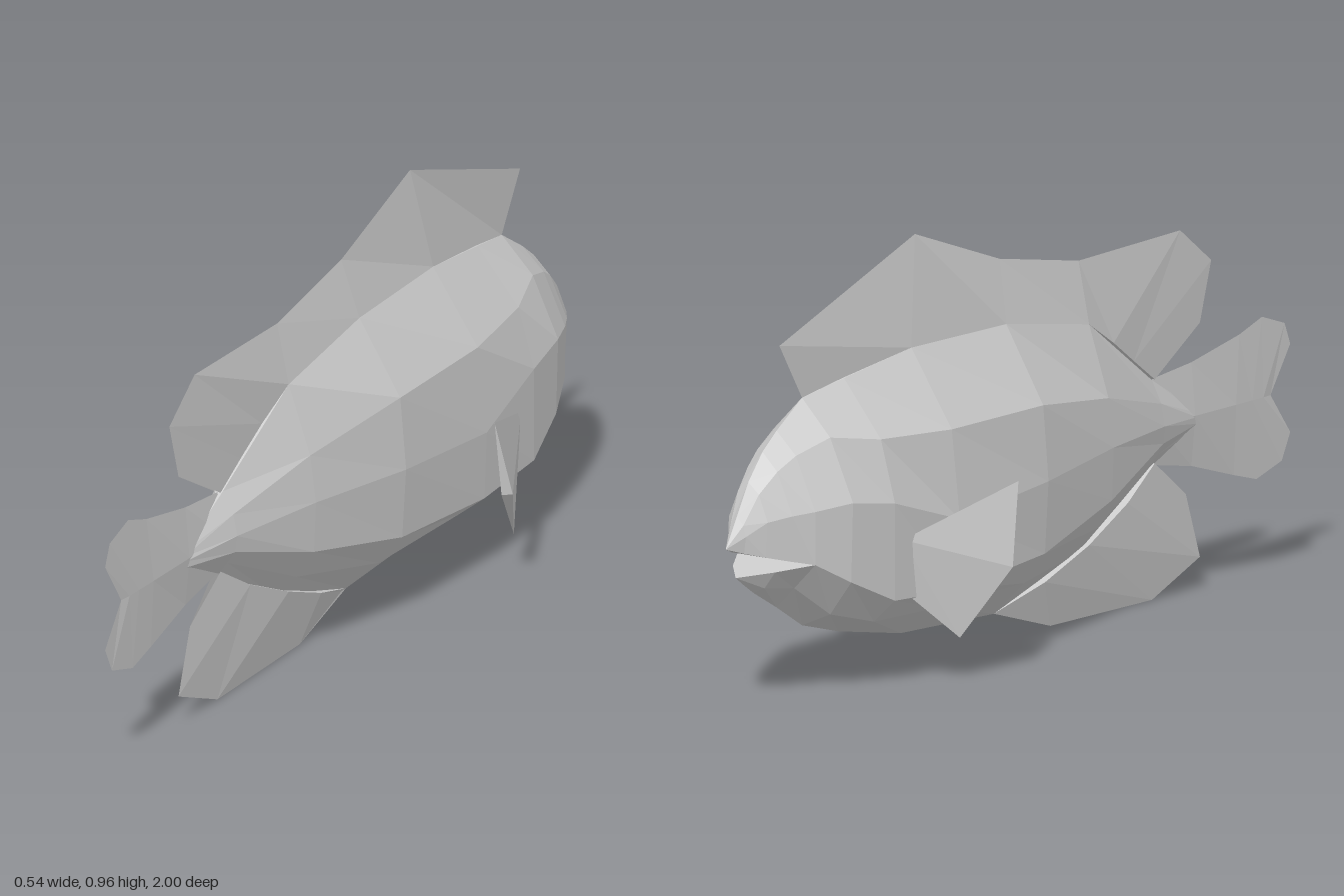
import * as THREE from 'three';

const skin = new THREE.MeshStandardMaterial({ color: 0xcccccc, flatShading: true, side: THREE.DoubleSide });
skin.name = 'grey skin';

function makeMesh(name, positions) {
  const geometry = new THREE.BufferGeometry();
  geometry.setAttribute('position', new THREE.Float32BufferAttribute(positions, 3));
  geometry.computeVertexNormals();
  const mesh = new THREE.Mesh(geometry, skin);
  mesh.name = name;
  return mesh;
}

// Joins half rings of [x, y, z], listed top to bottom and front to back, mirrored across x = 0
function loft(name, halfRings) {
  const rings = halfRings.map(h => [...h, ...h.map(([x, y, z]) => [-x, y, z]).reverse()]);
  const out = [];
  for (let i = 0; i < rings.length - 1; i++) {
    const n = rings[i].length;
    for (let k = 0; k < n; k++) {
      const a = rings[i][k], b = rings[i][(k + 1) % n];
      const c = rings[i + 1][k], d = rings[i + 1][(k + 1) % n];
      out.push(...a, ...c, ...b, ...b, ...c, ...d);
    }
  }
  return makeMesh(name, out);
}

// Flat cross-section: z followed by [x, y] pairs
const section = (z, ...points) => points.map(([x, y]) => [x, y, z]);

export function createModel() {
  const fish = new THREE.Group();
  fish.name = 'fish';

  // Trunk: ridge, shoulder, flank, lower edge, underside, keel
  fish.add(loft('body', [
    section(-0.82, [0, 0.6], [0.055, 0.55], [0.11, 0.43], [0.11, 0.31], [0.05, 0.25], [0, 0.2]),
    section(-0.73, [0, 0.66], [0.08, 0.58], [0.145, 0.44], [0.14, 0.26], [0.08, 0.18], [0, 0.145]),
    section(-0.6, [0.015, 0.685], [0.12, 0.56], [0.16, 0.42], [0.16, 0.2], [0.1, 0.145], [0, 0.11]),
    section(-0.38, [0.03, 0.72], [0.145, 0.55], [0.168, 0.35], [0.162, 0.19], [0.1, 0.14], [0, 0.07]),
    section(-0.05, [0.035, 0.72], [0.14, 0.55], [0.155, 0.38], [0.145, 0.215], [0.085, 0.14], [0, 0.06]),
    section(0.25, [0.03, 0.67], [0.085, 0.51], [0.1, 0.4], [0.095, 0.28], [0.05, 0.21], [0, 0.15]),
    section(0.5, [0.008, 0.5], [0.035, 0.45], [0.045, 0.4], [0.04, 0.36], [0.02, 0.33], [0, 0.3]),
    section(0.66, [0, 0.41], [0.004, 0.4], [0.008, 0.39], [0.008, 0.375], [0.004, 0.37], [0, 0.36]),
  ]));

  // Upper head, closed below by the roof of the mouth
  fish.add(loft('snout', [
    section(-1, [0, 0.36], [0, 0.36], [0, 0.36], [0, 0.36], [0, 0.36]),
    section(-0.96, [0, 0.43], [0.018, 0.41], [0.025, 0.385], [0.02, 0.347], [0, 0.347]),
    section(-0.92, [0, 0.5], [0.03, 0.475], [0.055, 0.415], [0.05, 0.335], [0, 0.335]),
    section(-0.87, [0, 0.56], [0.042, 0.52], [0.085, 0.425], [0.08, 0.322], [0, 0.322]),
    section(-0.82, [0, 0.6], [0.055, 0.55], [0.11, 0.43], [0.11, 0.31], [0, 0.31]),
  ]));

  // Lower jaw
  fish.add(loft('jaw', [
    section(-0.965, [0, 0.29], [0, 0.29], [0, 0.29], [0, 0.29]),
    section(-0.9, [0, 0.3], [0.06, 0.3], [0.03, 0.26], [0, 0.245]),
    section(-0.82, [0, 0.31], [0.11, 0.31], [0.05, 0.25], [0, 0.2]),
  ]));

  // Back fin: sharp upper edge above a thick root
  fish.add(loft('dorsalFin', [
    [[0, 0.79, -0.81], [0, 0.66, -0.73]],
    [[0, 0.965, -0.33], [0.03, 0.72, -0.38]],
    [[0, 0.86, -0.03], [0.035, 0.72, -0.05]],
    [[0, 0.81, 0.25], [0.03, 0.67, 0.25]],
    [[0, 0.82, 0.61], [0.02, 0.61, 0.35]],
    [[0, 0.735, 0.72], [0.013, 0.555, 0.43]],
    [[0, 0.6, 0.68], [0.008, 0.5, 0.51]],
  ]));

  // Belly fin: thick root above a sharp lower edge
  fish.add(loft('analFin', [
    [[0, 0.06, -0.05], [0, 0.06, -0.03]],
    [[0.025, 0.11, 0.1], [0, 0, 0.15]],
    [[0.03, 0.17, 0.25], [0, 0, 0.51]],
    [[0.02, 0.24, 0.4], [0, 0.07, 0.68]],
    [[0.008, 0.31, 0.51], [0, 0.22, 0.63]],
  ]));

  // Forked tail: upper edge, middle, lower edge
  fish.add(loft('tailFin', [
    [[0, 0.5, 0.51], [0.015, 0.4, 0.51], [0, 0.305, 0.51]],
    [[0, 0.515, 0.65], [0.011, 0.395, 0.65], [0, 0.28, 0.65]],
    [[0, 0.55, 0.82], [0.007, 0.395, 0.8], [0, 0.235, 0.8]],
    [[0, 0.577, 0.9], [0.005, 0.395, 0.86], [0, 0.213, 0.88]],
    [[0, 0.55, 0.98], [0.004, 0.395, 0.9], [0, 0.24, 0.97]],
    [[0, 0.5, 1], [0, 0.395, 0.93], [0, 0.3, 1]],
  ]));

  // Side fins: a thin wedge opening toward the rear
  for (const side of [1, -1]) {
    const root = [0.15, 0.33, -0.56], lowRoot = [0.152, 0.2, -0.54];
    const top = [0.25, 0.43, -0.275], bottom = [0.208, 0.095, -0.43];
    const outer = [0.27, 0.245, -0.32], inner = [0.25, 0.245, -0.305];
    const faces = [
      [root, top, outer], [root, outer, bottom], [root, bottom, lowRoot],
      [root, inner, top], [root, bottom, inner], [root, lowRoot, bottom],
      [top, inner, outer], [outer, inner, bottom],
    ];
    const out = [];
    for (const [a, b, c] of faces) {
      // Flip the corner order so each face points outward on its own side
      for (const [x, y, z] of side > 0 ? [a, c, b] : [a, b, c]) out.push(side * x, y, z);
    }
    fish.add(makeMesh(side > 0 ? 'leftPectoralFin' : 'rightPectoralFin', out));
  }

  return fish;
}
